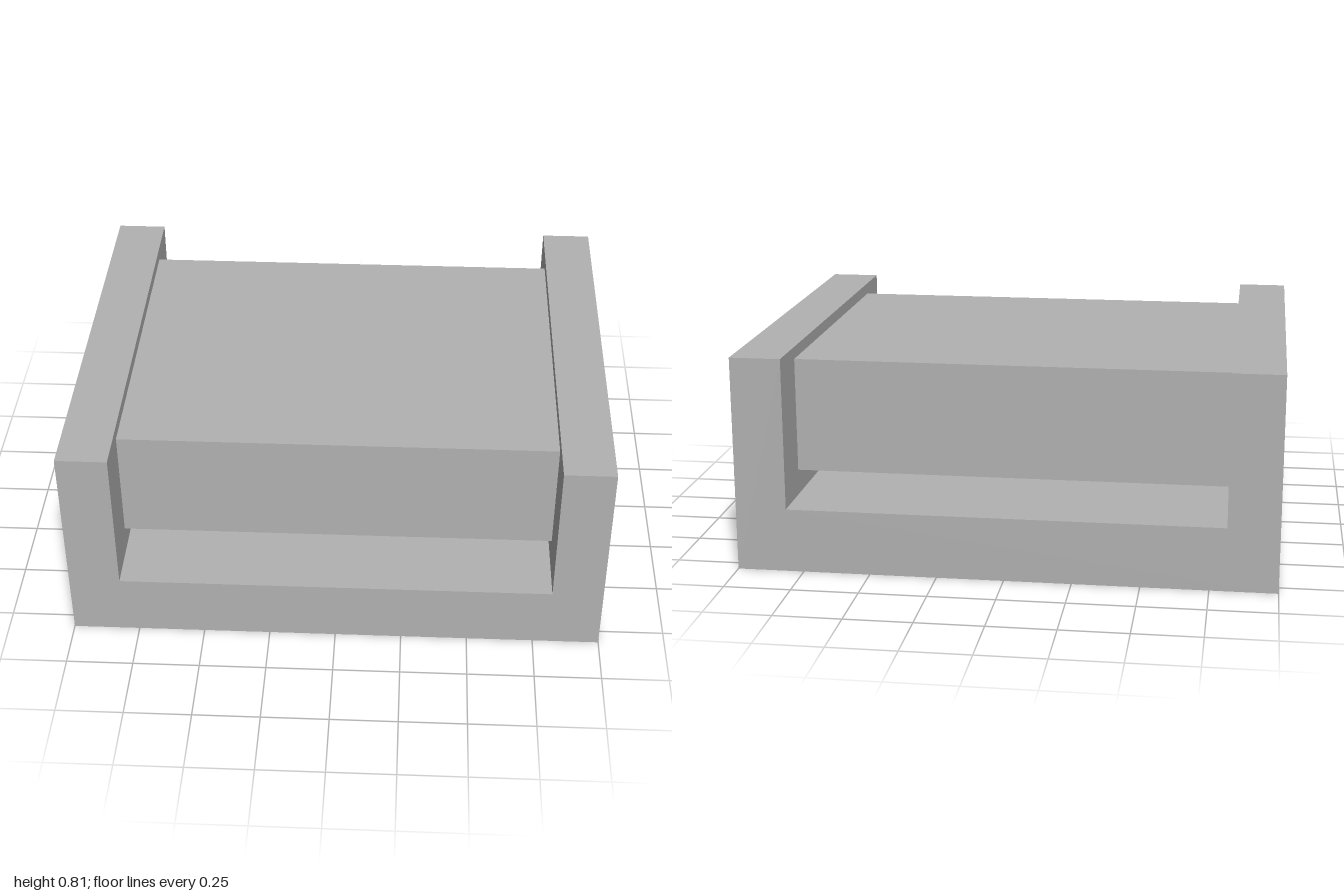
import * as THREE from 'three';

const HALF_WIDTH = 1, HALF_DEPTH = 0.81, HEIGHT = 0.81;
const INNER = 0.81, FLOOR = 0.24;

export function createModel() {
  const group = new THREE.Group();
  group.name = 'cradleWithBlock';

  const grey = new THREE.MeshStandardMaterial({ color: 0xb2b2b2 });
  grey.name = 'light grey';

  // U-shaped cradle: base and two side walls as one extruded profile
  const profile = new THREE.Shape([
    [-HALF_WIDTH, 0], [HALF_WIDTH, 0], [HALF_WIDTH, HEIGHT], [INNER, HEIGHT],
    [INNER, FLOOR], [-INNER, FLOOR], [-INNER, HEIGHT], [-HALF_WIDTH, HEIGHT],
  ].map(([x, y]) => new THREE.Vector2(x, y)));
  const cradleGeometry = new THREE.ExtrudeGeometry(profile, {
    depth: 2 * HALF_DEPTH, bevelEnabled: false,
  });
  cradleGeometry.translate(0, 0, -HALF_DEPTH);
  const cradle = new THREE.Mesh(cradleGeometry, grey);
  cradle.name = 'cradle';

  // Block held between the walls, clear of the base
  const bottom = 0.335, top = 0.765;
  const block = new THREE.Mesh(
    new THREE.BoxGeometry(2 * INNER, top - bottom, 1.236), grey);
  block.position.y = (bottom + top) / 2;
  block.name = 'suspendedBlock';

  group.add(cradle, block);
  return group;
}
